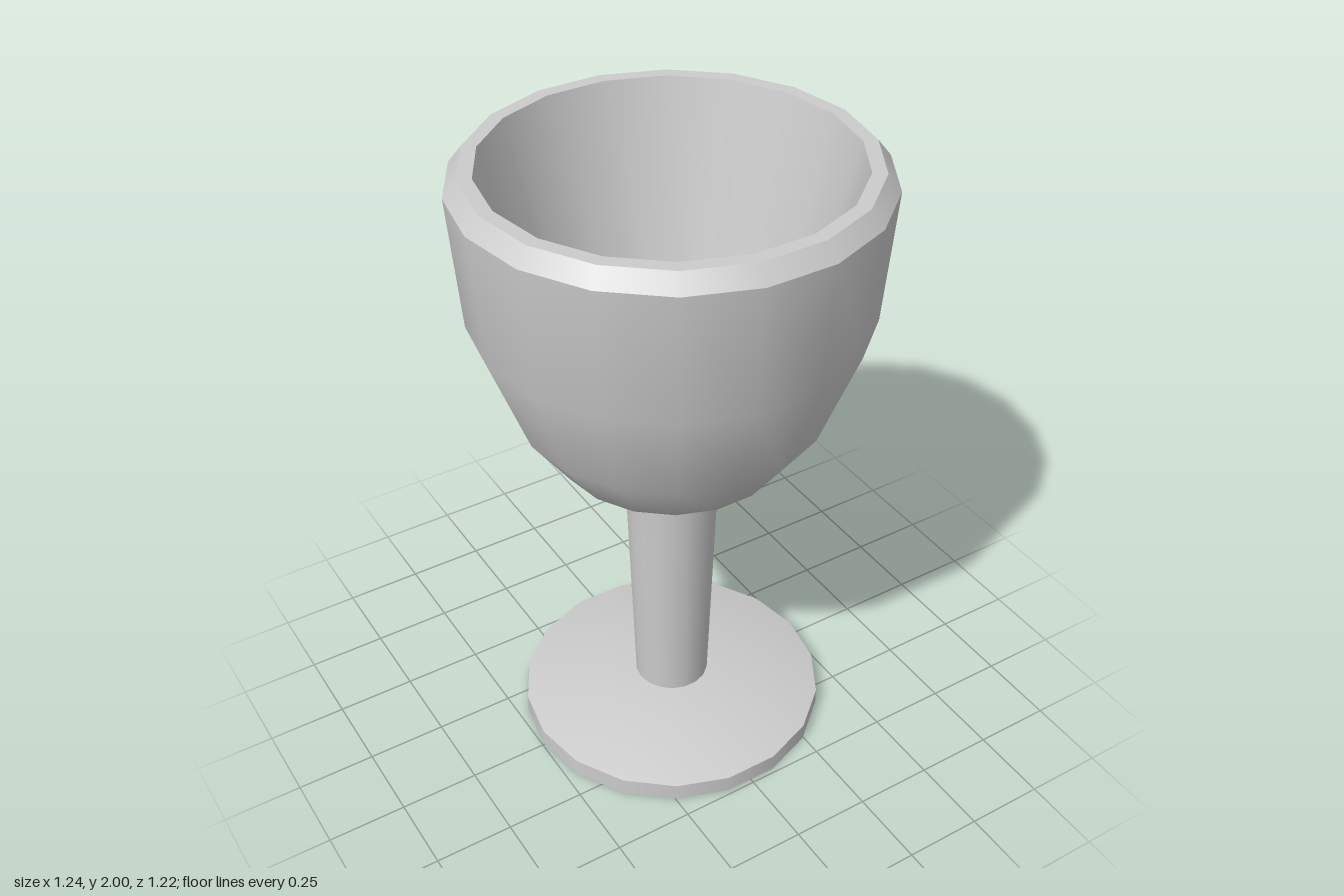
import * as THREE from 'three';

const SIDES = 18;

export function createModel() {
  const goblet = new THREE.Group();
  goblet.name = 'goblet';
  const material = new THREE.MeshStandardMaterial({ color: 0xcccccc });

  // Each band is smooth in itself; separate bands meet in a sharp edge.
  // Profiles run up the outside and down the inside, as [radius, height].
  function addBand(parent, name, profile) {
    const points = profile.map(([r, y]) => new THREE.Vector2(r, y));
    const mesh = new THREE.Mesh(new THREE.LatheGeometry(points, SIDES, Math.PI / 2), material);
    mesh.name = name;
    parent.add(mesh);
  }

  function addPart(name, bands) {
    const part = new THREE.Group();
    part.name = name;
    for (const [bandName, profile] of Object.entries(bands)) addBand(part, bandName, profile);
    goblet.add(part);
  }

  // Round foot with a shallow domed top
  addPart('foot', {
    footUnderside: [[0, 0], [0.493, 0]],
    footEdge: [[0.493, 0], [0.493, 0.058]],
    footTop: [[0.493, 0.058], [0.3, 0.105], [0.12, 0.118]],
  });

  // Stem widening slightly towards the bowl
  addPart('stem', {
    stemSide: [[0.12, 0.118], [0.145, 0.915]],
  });

  // Hollow bowl with a bevelled rim, straight tapering inside and flat floor
  addPart('bowl', {
    bowlOutside: [[0.145, 0.915], [0.35, 1.052], [0.47, 1.222], [0.59, 1.545], [0.62, 1.95]],
    rimBevel: [[0.62, 1.95], [0.58, 2]],
    rimTop: [[0.58, 2], [0.537, 2]],
    bowlInside: [[0.537, 2], [0.342, 1.13]],
    bowlFloor: [[0.342, 1.13], [0, 1.13]],
  });

  return goblet;
}
